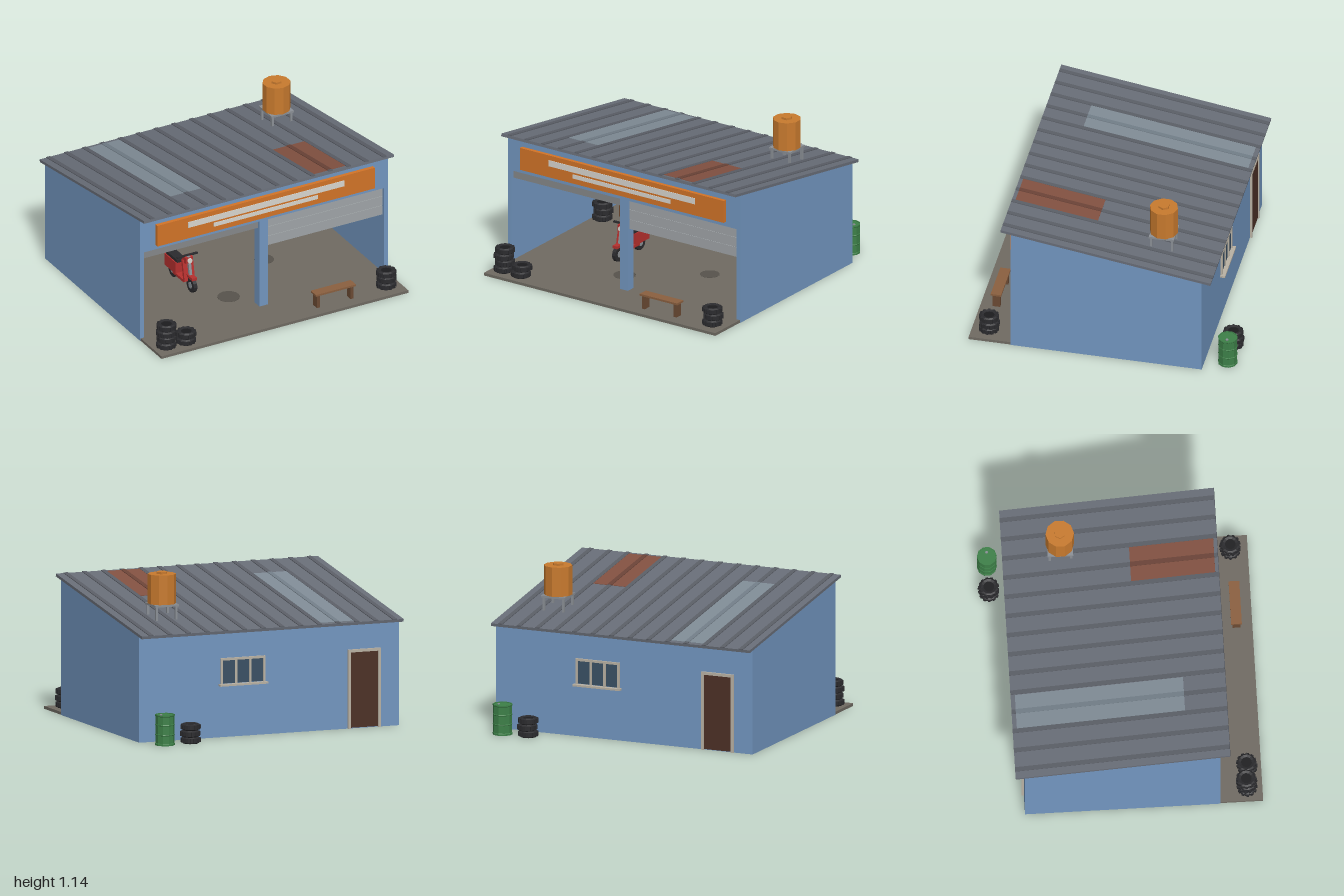
import * as THREE from 'three';

const mats = {};
const mat = (color) => mats[color] ??= new THREE.MeshStandardMaterial({ color, flatShading: true, side: THREE.DoubleSide });

const BLUE = 0x7296c0, ROOF = 0x686d77, RIB = 0x5a5e66, WOOD = 0x6b4a33, RUBBER = 0x2b2b2e,
  RED = 0xb5302e, TRIM = 0xb9b1a3, STEEL = 0x8b9096, ORANGE = 0xd27428, TANK = 0xc87a2e;

function add(parent, name, geometry, color, x = 0, y = 0, z = 0) {
  const m = new THREE.Mesh(geometry, mat(color));
  m.name = name;
  m.position.set(x, y, z);
  parent.add(m);
  return m;
}

// Box given by its minimum and maximum on each axis
function box(parent, name, color, [x0, x1], [y0, y1], [z0, z1]) {
  return add(parent, name, new THREE.BoxGeometry(x1 - x0, y1 - y0, z1 - z0), color,
    (x0 + x1) / 2, (y0 + y1) / 2, (z0 + z1) / 2);
}

function cyl(parent, name, color, r, h, sides, x, y, z) {
  return add(parent, name, new THREE.CylinderGeometry(r, r, h, sides), color, x, y + h / 2, z);
}

function group(parent, name, x = 0, y = 0, z = 0) {
  const g = new THREE.Group();
  g.name = name;
  g.position.set(x, y, z);
  parent.add(g);
  return g;
}

const lathe = (pts, sides) => new THREE.LatheGeometry(pts.map(([x, y]) => new THREE.Vector2(x, y)), sides);

// Stack of chunky tyres with tread blocks
function tyreStack(parent, x, y, z, count) {
  const g = group(parent, 'tyreStack', x, y, z), h = 0.047;
  const profile = [[0.038, 0.006], [0.055, 0], [0.066, 0.008], [0.066, 0.039], [0.055, h], [0.038, 0.041], [0.038, 0.006]];
  for (let i = 0; i < count; i++) {
    const t = group(g, 'tyre', i % 2 ? 0.004 : -0.002, i * h, i % 2 ? -0.003 : 0.003);
    t.rotation.y = i * 0.35;
    add(t, 'tyreRing', lathe(profile, 12), RUBBER);
    cyl(t, 'tyreHub', 0x1c1c1e, 0.039, 0.03, 12, 0, 0.006, 0);
    for (let k = 0; k < 12; k++) {
      const a = (k / 12) * Math.PI * 2;
      const b = add(t, 'treadBlock', new THREE.BoxGeometry(0.017, 0.03, 0.01), RUBBER,
        Math.sin(a) * 0.066, h / 2, Math.cos(a) * 0.066);
      b.rotation.y = a;
    }
  }
}

function barrel(parent, color, x, y, z) {
  const g = group(parent, 'barrel', x, y, z);
  const p = [[0, 0], [0.07, 0], [0.07, 0.012], [0.067, 0.016], [0.067, 0.07], [0.07, 0.075], [0.067, 0.08], [0.067, 0.14],
    [0.07, 0.145], [0.067, 0.15], [0.067, 0.204], [0.07, 0.208], [0.07, 0.217], [0.064, 0.217], [0.064, 0.212], [0, 0.212]];
  add(g, 'drum', lathe(p, 10), color);
  cyl(g, 'bung', STEEL, 0.01, 0.006, 8, 0.03, 0.212, 0);
}

function buildWalls(g) {
  const topAt = (z) => 0.862 + (z + 0.03) * 0.153;
  // Sloped side walls
  for (const s of [-1, 1]) {
    const sh = new THREE.Shape([[-0.65, 0], [0.72, 0], [0.72, topAt(-0.72)], [-0.65, topAt(0.65)]]
      .map(([a, b]) => new THREE.Vector2(a, b)));
    const w = add(g, 'sideWall', new THREE.ExtrudeGeometry(sh, { depth: 0.032, bevelEnabled: false }), BLUE, s > 0 ? 0.96 : -0.992);
    w.rotation.y = Math.PI / 2;
  }
  box(g, 'backWall', BLUE, [-0.96, 0.96], [0, topAt(-0.72)], [-0.72, -0.69]);
  box(g, 'backWallLining', 0xc8c3ba, [-0.96, 0.96], [0.24, 0.75], [-0.69, -0.685]);
  box(g, 'backWallDado', 0x9d9890, [-0.96, 0.96], [0.02, 0.245], [-0.69, -0.683]);
  box(g, 'frontHeader', BLUE, [-0.96, 0.96], [0.7, topAt(0.62)], [0.615, 0.65]);
  box(g, 'centrePost', BLUE, [-0.037, 0.032], [0, 0.7], [0.58, 0.65]);
  // Sign board with plain bars
  box(g, 'signBoard', ORANGE, [-0.87, 0.87], [0.735, 0.9], [0.65, 0.678]);
  box(g, 'signBar', 0xd9d7d0, [-0.625, 0.625], [0.82, 0.865], [0.678, 0.682]);
  box(g, 'signBar', 0xd9d7d0, [-0.42, 0.415], [0.775, 0.805], [0.678, 0.682]);
  // Shutters: left rolled up, right partly lowered
  box(g, 'rolledShutter', 0x85888a, [-0.96, -0.037], [0.64, 0.7], [0.6, 0.63]);
  for (let i = 0; i < 3; i++)
    box(g, 'shutterSlat', 0xa0a5a8, [0.032, 0.958], [0.481 + i * 0.074, 0.552 + i * 0.074], [0.61, 0.63]);
  box(g, 'shutterBacking', STEEL, [0.032, 0.958], [0.485, 0.7], [0.612, 0.625]);
}

function buildBackOpenings(g) {
  // Door with frame
  box(g, 'backDoor', 0x4c3026, [-0.83, -0.62], [0.005, 0.54], [-0.726, -0.715]);
  for (const x of [-0.85, -0.62]) box(g, 'doorJamb', TRIM, [x, x + 0.02], [0, 0.56], [-0.735, -0.715]);
  box(g, 'doorHead', TRIM, [-0.83, -0.62], [0.54, 0.56], [-0.735, -0.715]);
  // Three-pane window with sill
  box(g, 'windowGlass', 0x3a5064, [0.04, 0.37], [0.38, 0.55], [-0.725, -0.715]);
  for (let i = 0; i < 4; i++) {
    const x = 0.04 + i * 0.108;
    box(g, 'windowBar', TRIM, [x - 0.008, x + 0.008], [0.375, 0.56], [-0.733, -0.715]);
  }
  box(g, 'windowHead', TRIM, [0.032, 0.372], [0.543, 0.56], [-0.733, -0.715]);
  box(g, 'windowSill', TRIM, [0.02, 0.385], [0.363, 0.377], [-0.755, -0.715]);
}

function buildRoof(root) {
  const g = group(root, 'roof', 0, 0.867, -0.0325);
  g.rotation.x = -0.152;
  const L = 0.761;
  box(g, 'roofSheet', ROOF, [-1, 1], [-0.01, 0.01], [-L, L]);
  const patches = [
    { name: 'skylight', color: 0x7f8b95, rib: 0x717d87, x: [-0.63, -0.38], z: [-0.73, 0.463] },
    { name: 'rustPatch', color: 0x825141, rib: 0x6b4337, x: [0.37, 0.625], z: [0.139, 0.736] }];
  for (const p of patches) box(g, p.name, p.color, p.x, [0.008, 0.013], p.z);
  for (let i = 0; i < 14; i++) {
    const x = -0.932 + i * 0.143;
    box(g, 'roofRib', RIB, [x - 0.016, x + 0.016], [0.005, 0.015], [-L, L]);
    for (const p of patches)
      if (x > p.x[0] && x < p.x[1]) box(g, p.name + 'Rib', p.rib, [x - 0.017, x + 0.017], [0.005, 0.017], p.z);
  }
}

function buildTank(root) {
  const g = group(root, 'waterTank', 0.67, 0, -0.38);
  for (const x of [-0.075, 0.075]) for (const z of [-0.075, 0.075])
    box(g, 'tankLeg', STEEL, [x - 0.008, x + 0.008], [0.79, 0.908], [z - 0.008, z + 0.008]);
  box(g, 'tankPlatform', STEEL, [-0.09, 0.09], [0.905, 0.92], [-0.09, 0.09]);
  cyl(g, 'tankBody', TANK, 0.1, 0.21, 10, 0, 0.92, 0);
  cyl(g, 'tankCap', TANK, 0.04, 0.015, 6, 0, 1.13, 0).rotation.y = Math.PI / 6;
}

function buildScooter(root) {
  const g = group(root, 'scooter', -0.345, 0.02, 0.1);
  for (const z of [0.13, -0.13]) {
    const w = add(g, 'wheel', new THREE.CylinderGeometry(0.055, 0.055, 0.028, 12), RUBBER, 0, 0.055, z);
    w.rotation.z = Math.PI / 2;
    const hub = add(g, 'wheelHub', new THREE.CylinderGeometry(0.025, 0.025, 0.032, 10), STEEL, 0, 0.055, z);
    hub.rotation.z = Math.PI / 2;
  }
  box(g, 'frontMudguard', RED, [-0.02, 0.02], [0.105, 0.125], [0.08, 0.17]);
  const stem = box(g, 'steeringStem', STEEL, [-0.01, 0.01], [0.06, 0.26], [0.09, 0.11]);
  stem.rotation.x = -0.2;
  const shield = box(g, 'legShield', RED, [-0.042, 0.042], [0.07, 0.23], [0.065, 0.085]);
  shield.rotation.x = -0.2;
  box(g, 'headset', RED, [-0.03, 0.03], [0.21, 0.255], [0.04, 0.095]);
  const lamp = add(g, 'headlamp', new THREE.CylinderGeometry(0.018, 0.018, 0.015, 10), 0xd9d7d0, 0, 0.232, 0.1);
  lamp.rotation.x = Math.PI / 2;
  box(g, 'handlebar', RUBBER, [-0.083, 0.083], [0.252, 0.264], [0.055, 0.07]);
  box(g, 'floorboard', RED, [-0.04, 0.04], [0.06, 0.08], [-0.08, 0.08]);
  box(g, 'rearBody', RED, [-0.043, 0.043], [0.075, 0.165], [-0.19, -0.03]);
  box(g, 'seat', RUBBER, [-0.035, 0.035], [0.165, 0.187], [-0.18, -0.02]);
}

function buildWorkshop(root) {
  const g = group(root, 'workshopFittings');
  // Workbench
  box(g, 'workbenchTop', WOOD, [-0.835, -0.275], [0.21, 0.225], [-0.68, -0.44]);
  box(g, 'workbenchBody', 0x704b31, [-0.82, -0.29], [0.02, 0.21], [-0.68, -0.46]);
  // Tool board
  box(g, 'toolBoard', 0x52645a, [-0.8, -0.31], [0.31, 0.55], [-0.685, -0.67]);
  for (let i = 0; i < 6; i++) {
    const x = -0.742 + i * 0.073, red = i % 2;
    box(g, 'tool', red ? RED : 0xb5bab8, [x - 0.008, x + 0.008], [red ? 0.385 : 0.36, 0.505], [-0.67, -0.66]);
  }
  // Drums in the back corner
  barrel(g, 0x2f5f9e, 0.71, 0.02, -0.5);
  barrel(g, RED, 0.855, 0.02, -0.56);
  // Oil stains
  cyl(g, 'oilStain', 0x57534c, 0.08, 0.002, 16, -0.157, 0.02, 0.42);
  cyl(g, 'oilStain', 0x57534c, 0.07, 0.002, 16, 0.324, 0.02, 0.066);
  // Wooden bench on the forecourt
  box(g, 'benchSeat', 0x8a5f3f, [0.29, 0.61], [0.118, 0.132], [0.8, 0.875]);
  for (const x of [0.315, 0.585]) box(g, 'benchLeg', WOOD, [x - 0.012, x + 0.012], [0.02, 0.118], [0.81, 0.865]);
}

export function createModel() {
  const root = new THREE.Group();
  root.name = 'garage';
  box(root, 'floorSlab', 0x6f6a62, [-0.988, 0.988], [0, 0.02], [-0.715, 0.95]);
  const walls = group(root, 'walls');
  buildWalls(walls);
  buildBackOpenings(walls);
  buildRoof(root);
  buildTank(root);
  buildScooter(root);
  buildWorkshop(root);
  tyreStack(root, -0.89, 0.02, 0.84, 4);
  tyreStack(root, -0.737, 0.02, 0.85, 2);
  tyreStack(root, 0.88, 0.02, 0.825, 3);
  tyreStack(root, -0.88, 0.02, -0.35, 3);
  tyreStack(root, 0.67, 0, -0.88, 3);
  barrel(root, 0x3d8048, 0.865, 0, -0.88);
  return root;
}
